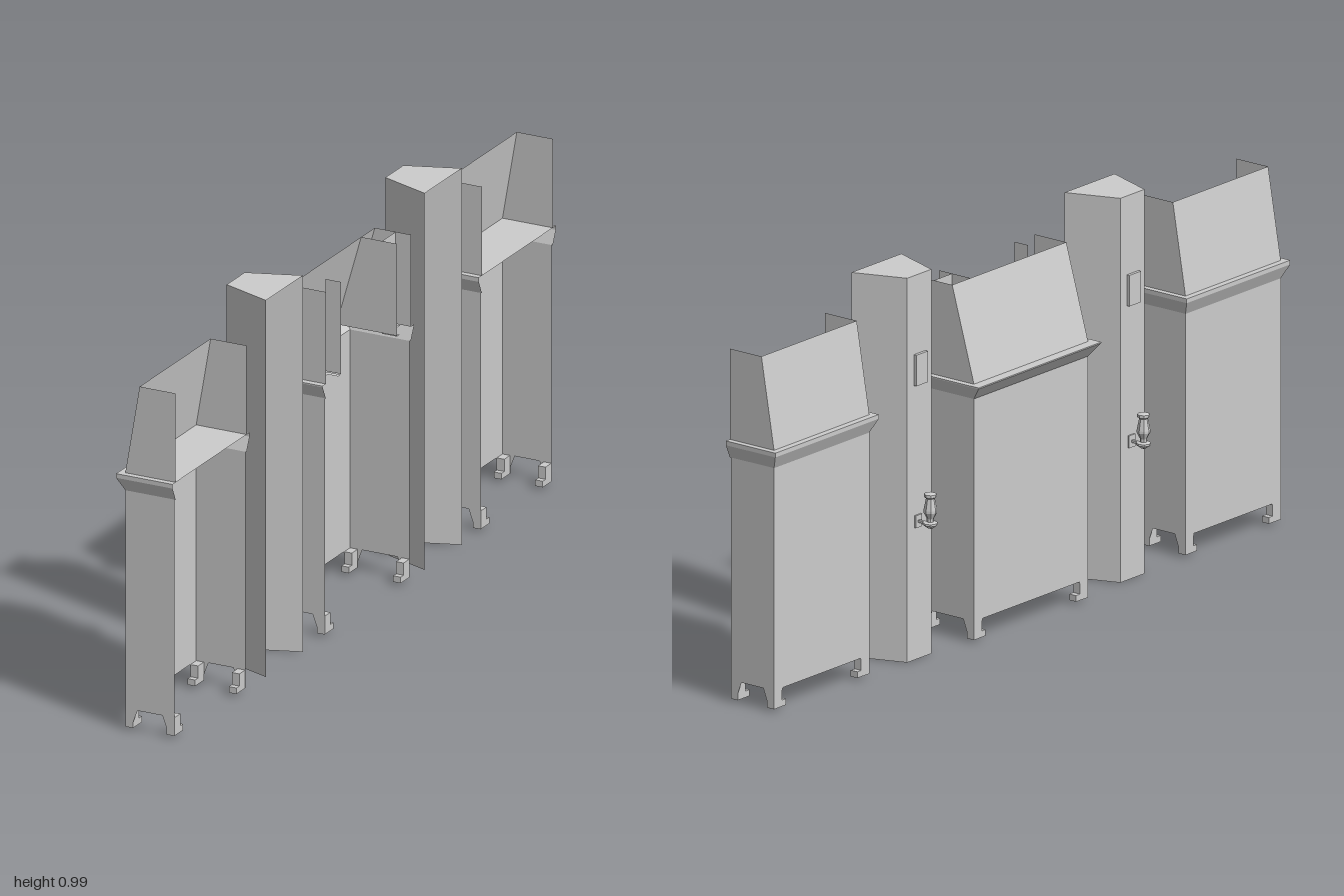
import * as THREE from 'three';

const BACK = 0.097; // open rear edge, set against a wall

export function createModel() {
  const root = new THREE.Group();
  const stone = new THREE.MeshStandardMaterial({ color: 0xcccccc, side: THREE.DoubleSide });

  const add = (parent, name, geometry) => {
    const mesh = new THREE.Mesh(geometry, stone);
    mesh.name = name;
    parent.add(mesh);
    return mesh;
  };

  // Flat sheet: a 2D outline placed in space by a rule
  const sheet = (parent, name, outline, place) => {
    const g = new THREE.ShapeGeometry(new THREE.Shape(outline.map(p => new THREE.Vector2(...p))));
    const pos = g.attributes.position;
    for (let i = 0; i < pos.count; i++) pos.setXYZ(i, ...place(pos.getX(i), pos.getY(i)));
    g.computeVertexNormals();
    return add(parent, name, g);
  };

  // Faceted skin between open plan outlines ([x, z] points), one per height
  const loft = (parent, name, sections) => {
    const v = [];
    for (let s = 0; s + 1 < sections.length; s++) {
      const [a, b] = [sections[s], sections[s + 1]];
      for (let i = 0; i + 1 < a.plan.length; i++) {
        const at = (q, k) => [q.plan[k][0], q.y, q.plan[k][1]];
        const [p, q, r, t] = [at(a, i), at(a, i + 1), at(b, i + 1), at(b, i)];
        v.push(...p, ...r, ...q, ...p, ...t, ...r);
      }
    }
    const g = new THREE.BufferGeometry();
    g.setAttribute('position', new THREE.Float32BufferAttribute(v, 3));
    g.computeVertexNormals();
    return add(parent, name, g);
  };

  // U-shaped plan, open at the back
  const plan = (x, z0, z1, back = BACK) => [[back, z0], [x, z0], [x, z1], [back, z1]];

  // Panel outline with an arched cut between two bracket feet
  const footed = (a, b, top) => [
    [a, 0.01], [a + 0.022, 0.01], [a + 0.022, 0.026], [a + 0.034, 0.058],
    [b - 0.034, 0.058], [b - 0.022, 0.026], [b - 0.022, 0.01], [b, 0.01], [b, top], [a, top],
  ];

  // Cabinet with feet, flared ledge and sloping hood
  const cabinet = (name, c) => {
    const g = new THREE.Group();
    g.name = name;
    root.add(g);
    const { x, z0, z1, out, side } = c;
    const back = 0.094;
    sheet(g, 'frontPanel', footed(z0, z1, 0.632), (u, v) => [x, v, u]);
    for (const z of [z0, z1]) {
      sheet(g, 'endPanel', footed(x, back, 0.632), (u, v) => [u, v, z]);
      const s = z === z0 ? 1 : -1;
      for (const fx of [x + 0.011, back - 0.011]) {
        const foot = add(g, 'foot', new THREE.BoxGeometry(0.021, 0.016, 0.045));
        foot.position.set(fx, 0.018, z + s * 0.0235);
        const knee = add(g, 'footBracket', new THREE.BoxGeometry(0.021, 0.032, 0.03));
        knee.position.set(fx, 0.042, z + s * 0.016);
      }
    }
    const ring = (y, k) => ({ y, plan: plan(x - out * k, z0 - side * k, z1 + side * k) });
    loft(g, 'ledge', [ring(0.632, 0), ring(0.667, 1), ring(c.lip, 1), ring(c.lip, 0)]);
    if (c.floor) {
      sheet(g, 'ledgeTop', [[x, z0], [BACK, z0], [BACK, z1], [x, z1]], (u, v) => [u, c.lip, v]);
    }
    loft(g, 'hood', [
      { y: c.lip, plan: plan(x, z0, z1) },
      { y: 0.912, plan: plan(-0.003, z0, z1) },
    ]);
    return g;
  };

  for (const s of [-1, 1]) {
    const [a, b] = [s * 0.614, s * 0.984].sort((p, q) => p - q);
    cabinet('outerCabinet', { x: -0.043, z0: a, z1: b, out: 0.017, side: 0.016, lip: 0.678, floor: true });
  }

  const middle = cabinet('middleCabinet', { x: -0.072, z0: -0.243, z1: 0.2, out: 0.028, side: 0.017, lip: 0.67 });

  // Inner returns of the middle cabinet
  const rect = (a, b, c, d) => [[a, b], [c, b], [c, d], [a, d]];
  sheet(middle, 'hoodDivider', [[-0.072, 0.67], [BACK, 0.67], [BACK, 0.912], [-0.003, 0.912]],
    (u, v) => [u, v, -0.172]);
  sheet(middle, 'hoodReturn', rect(-0.243, 0.67, -0.172, 0.912), (u, v) => [0.055, v, u]);
  sheet(middle, 'hoodReturnEnd', rect(0.055, 0.67, BACK, 0.912), (u, v) => [u, v, 0.122]);
  for (const [outer, inner] of [[-0.243, -0.172], [0.2, 0.122]]) {
    const s = Math.sign(inner - outer);
    sheet(middle, 'ledgeReturn', rect(0.053, outer, 0.068, inner), (u, v) => [u, 0.668, v]);
    sheet(middle, 'ledgeReturnEnd', rect(0.053, inner - s * 0.014, BACK, inner), (u, v) => [u, 0.668, v]);
  }

  // Tapered pillars, each with a small plaque and a wall lamp
  for (const z of [-0.42, 0.408]) {
    const g = new THREE.Group();
    g.name = 'pillar';
    g.position.z = z;
    root.add(g);
    const outline = [[0.093, -0.097], [-0.043, -0.047], [-0.043, 0.047], [0.093, 0.097]];
    loft(g, 'pillarShaft', [{ y: 0.002, plan: outline }, { y: 0.993, plan: outline }]);
    sheet(g, 'pillarCap', outline, (u, v) => [u, 0.993, v]);

    const plaque = add(g, 'plaque', new THREE.BoxGeometry(0.008, 0.08, 0.045));
    plaque.position.set(-0.048, 0.75, 0);

    const lamp = new THREE.Group();
    lamp.name = 'wallLamp';
    lamp.position.set(-0.083, 0, -0.006);
    g.add(lamp);
    const profile = [
      [0, 0.345], [0.008, 0.348], [0.019, 0.356], [0.019, 0.361], [0.009, 0.364], [0.009, 0.372],
      [0.017, 0.388], [0.017, 0.394], [0.011, 0.424], [0.016, 0.428], [0.016, 0.435], [0.008, 0.438], [0, 0.438],
    ].map(p => new THREE.Vector2(...p));
    const bowl = new THREE.LatheGeometry(profile, 8).toNonIndexed();
    bowl.computeVertexNormals();
    add(lamp, 'lampBody', bowl);
    add(lamp, 'lampArm', new THREE.BoxGeometry(0.04, 0.006, 0.008)).position.set(0.021, 0.358, 0);
    add(lamp, 'lampMount', new THREE.BoxGeometry(0.005, 0.032, 0.024)).position.set(0.038, 0.358, 0);
  }

  return root;
}
